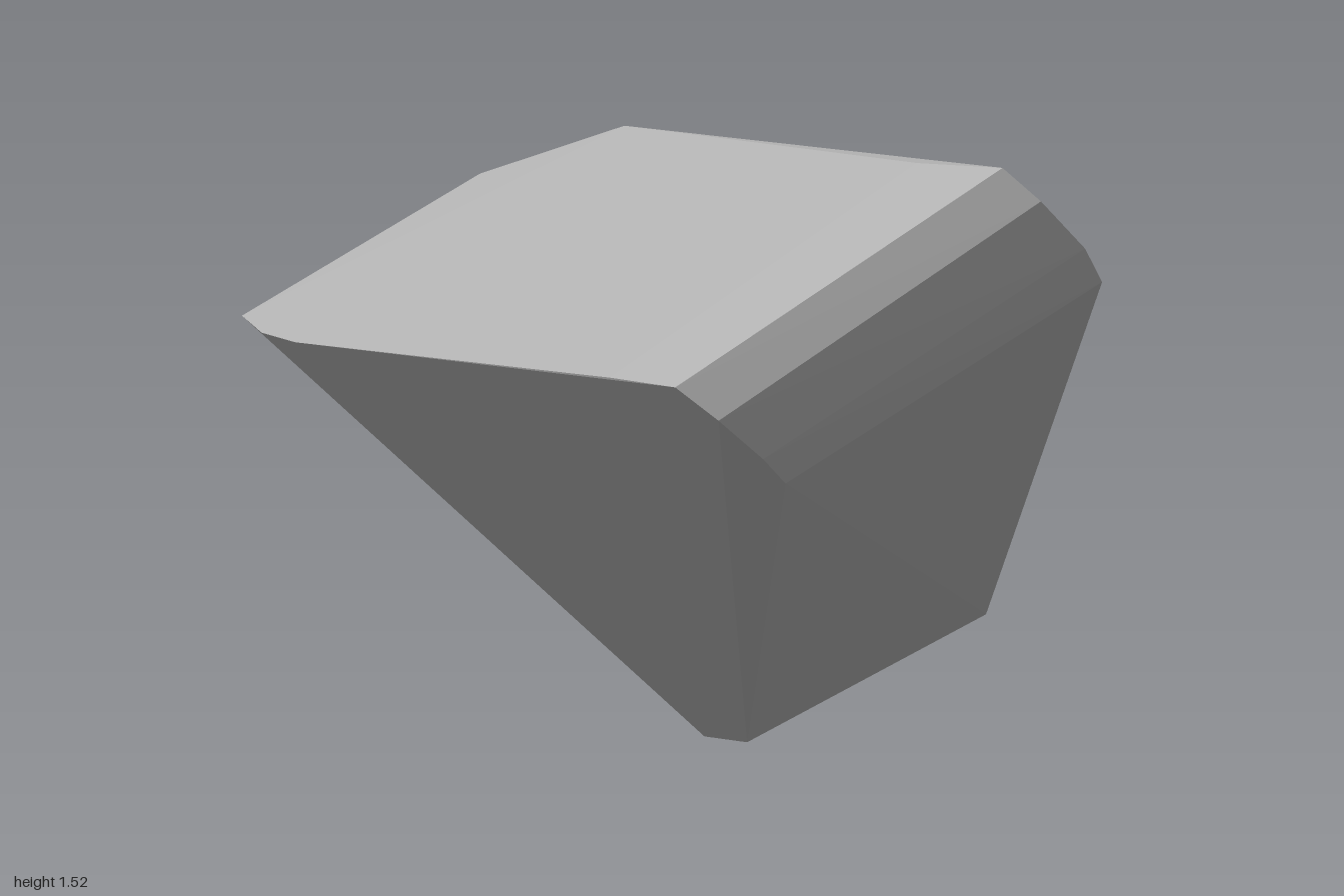
import * as THREE from 'three';
import { ConvexGeometry } from 'three/addons/geometries/ConvexGeometry.js';

const stoneGrey = new THREE.MeshStandardMaterial({ color: 0xb0b0b0 });
stoneGrey.name = 'stoneGrey';

// Outline of the upper (left) cap: blunt nose, lower rim, back edge, top edge
const upperRim = [
  [0.055, 1.52, 0.98], [0.11, 1.47, 1.0], [0.2, 1.39, 0.97], [0.25, 1.33, 0.93],
  [0.72, 0.36, -0.53], [0.74, 0.31, -0.66], [0.775, 0.22, -0.97],
  [0.46, 0.6, -1.0], [-0.13, 1.2, -0.99], [-0.27, 1.3, -0.96],
  [-0.09, 1.44, -0.5], [0.0, 1.507, 0.78],
];

// Matching outline of the lower (right) cap
const lowerRim = [
  [-0.46, 1.22, 0.98], [-0.4, 1.17, 1.0], [-0.32, 1.1, 0.97], [-0.27, 1.05, 0.93],
  [0.175, 0.13, -0.53], [0.2, 0.09, -0.66], [0.225, 0, -0.97],
  [-0.06, 0.33, -1.0], [-0.64, 0.9, -0.995], [-0.78, 1.025, -0.97],
  [-0.78, 1.03, -0.73], [-0.75, 1.045, -0.52], [-0.5, 1.2, 0.78],
];

// Raised crease running across the upper cap
const crease = [[0.06, 1.35, -0.51], [0.36, 1.08, -0.51], [0.475, 0.89, -0.51]];

export function createModel() {
  const group = new THREE.Group();
  group.name = 'wedgeStone';

  // The faceted body is the solid stretched over both rims and the crease
  const points = [...upperRim, ...lowerRim, ...crease].map((p) => new THREE.Vector3(...p));
  const body = new THREE.Mesh(new ConvexGeometry(points), stoneGrey);
  body.name = 'stoneBody';
  group.add(body);
  return group;
}
